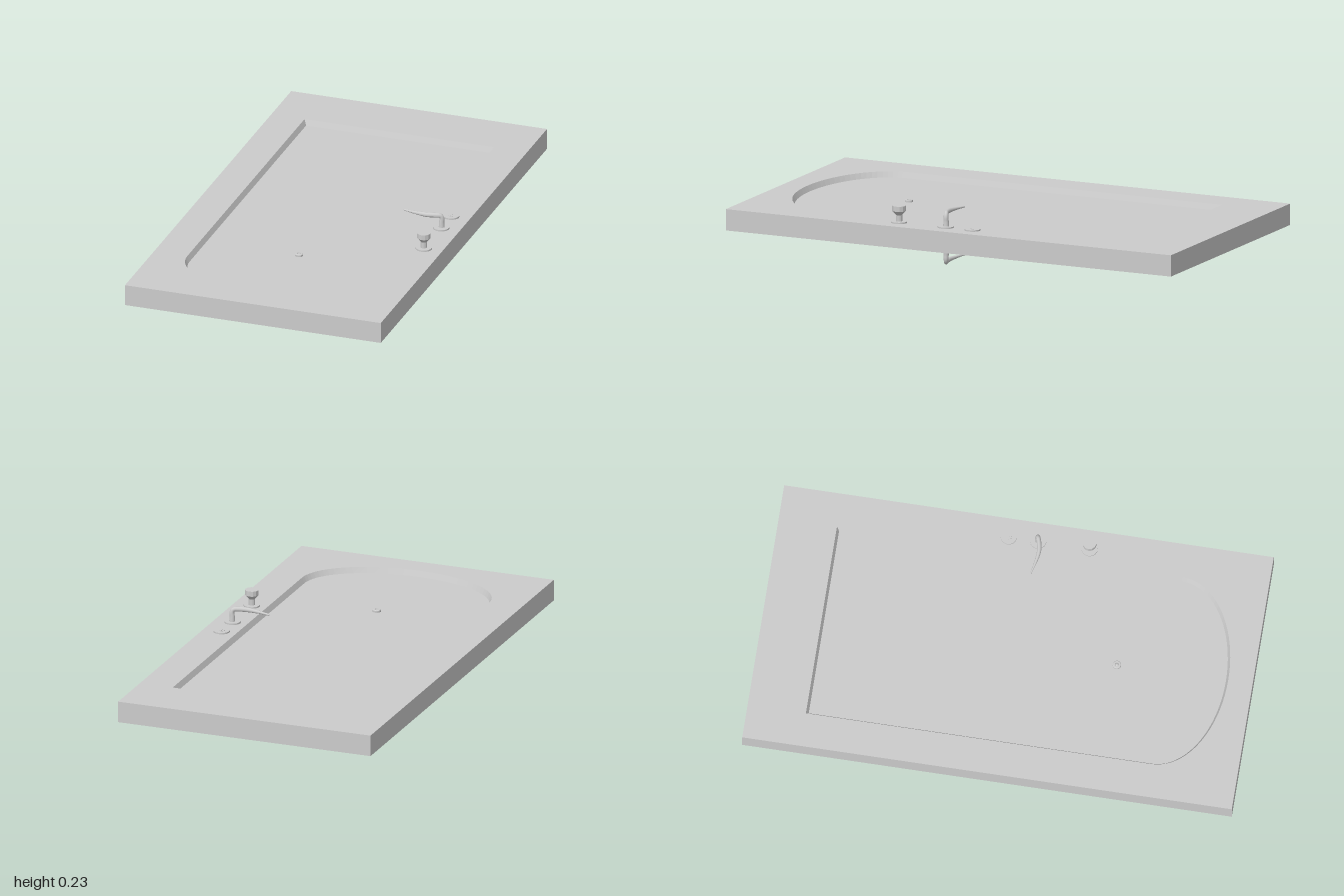
import * as THREE from 'three';

const HALF_W = 0.548, HALF_L = 1, MID_Y = 0.111, HALF_T = 0.044;
const RECESS = 0.023, SLOPE = 0.01, FIT_X = 0.469;

const mat = new THREE.MeshStandardMaterial({ color: 0xcccccc });
const flat = new THREE.MeshStandardMaterial({ color: 0xcccccc, flatShading: true });

function add(parent, name, geometry, material = mat, x = 0, y = 0, z = 0) {
  const mesh = new THREE.Mesh(geometry, material);
  mesh.name = name;
  mesh.position.set(x, y, z);
  parent.add(mesh);
  return mesh;
}

// Panel outline: square at one end, half ellipse at the other
function outline(inset) {
  const w = 0.406 - inset, pts = [new THREE.Vector2(-w, -0.762 + inset), new THREE.Vector2(w, -0.762 + inset)];
  for (let i = 0; i <= 40; i++) {
    const a = Math.PI * i / 40;
    pts.push(new THREE.Vector2(w * Math.cos(a), 0.65 + (0.25 - inset) * Math.sin(a)));
  }
  return pts;
}

// Extrude a plan shape (x, z) symmetrically about y = 0
function slab(shape, halfThickness) {
  return new THREE.ExtrudeGeometry(shape, { depth: 2 * halfThickness, bevelEnabled: false })
    .rotateX(Math.PI / 2).translate(0, halfThickness, 0);
}

// Sloping strip from the door face down to the sunken panel, facing the opening
function recessWall() {
  const rim = outline(0), foot = outline(SLOPE), pos = [], n = rim.length;
  for (let i = 0; i < n; i++) {
    const j = (i + 1) % n;
    const a = [rim[i].x, HALF_T, rim[i].y], b = [rim[j].x, HALF_T, rim[j].y];
    const c = [foot[i].x, HALF_T - RECESS, foot[i].y], d = [foot[j].x, HALF_T - RECESS, foot[j].y];
    pos.push(...a, ...c, ...b, ...b, ...c, ...d);
  }
  const g = new THREE.BufferGeometry();
  g.setAttribute('position', new THREE.Float32BufferAttribute(pos, 3));
  g.computeVertexNormals();
  return g;
}

// Post and curved lever: a tube whose radius follows its path
function leverGeometry() {
  const path = new THREE.CatmullRomCurve3([
    [0.47, 0.046, 0.048], [0.47, 0.07, 0.048], [0.471, 0.088, 0.048], [0.466, 0.099, 0.05],
    [0.45, 0.101, 0.056], [0.41, 0.101, 0.063], [0.36, 0.1, 0.057], [0.31, 0.099, 0.045],
  ].map(p => new THREE.Vector3(...p)));
  const segs = 48, sides = 14;
  const g = new THREE.TubeGeometry(path, segs, 1, sides, false);
  const p = g.attributes.position, v = new THREE.Vector3();
  for (let i = 0; i <= segs; i++) {
    const t = i / segs, c = path.getPointAt(t);
    const bar = THREE.MathUtils.smoothstep(t, 0.18, 0.36);
    const taper = THREE.MathUtils.smoothstep(t, 0.45, 1);
    const post = 0.0125 - 0.015 * Math.min(t, 0.22);
    const high = THREE.MathUtils.lerp(post, 0.01 - 0.006 * taper, bar);
    const deep = THREE.MathUtils.lerp(post, 0.009 - 0.005 * taper, bar);
    for (let k = 0; k <= sides; k++) {
      const id = i * (sides + 1) + k;
      v.fromBufferAttribute(p, id).sub(c);
      p.setXYZ(id, c.x + v.x * deep, c.y + v.y * high, c.z + v.z * deep);
    }
  }
  g.computeVertexNormals();
  return g;
}

function rosette(parent, name, z) {
  add(parent, name, new THREE.CylinderGeometry(0.033, 0.033, 0.006, 32), mat, FIT_X, HALF_T + 0.003, z);
}

function keyPlug(parent, z) {
  add(parent, 'keyPlug', new THREE.CylinderGeometry(0.013, 0.013, 0.002, 24), mat, FIT_X, HALF_T + 0.006, z);
  add(parent, 'keySlot', new THREE.BoxGeometry(0.004, 0.003, 0.02), mat, FIT_X, HALF_T + 0.0065, z);
}

// Everything found on one face of the door, built facing +y
function doorFace(name, hasKnob) {
  const face = new THREE.Group();
  face.name = name;
  add(face, 'recessWall', recessWall(), flat);
  rosette(face, 'lockRosette', -0.07);
  rosette(face, 'handleRosette', 0.05);
  rosette(face, 'boltRosette', 0.26);
  keyPlug(face, -0.07);
  add(face, 'leverHandle', leverGeometry());
  const tip = add(face, 'leverTip', new THREE.SphereGeometry(1, 12, 8), mat, 0.31, 0.099, 0.045);
  tip.scale.setScalar(0.004);

  if (hasKnob) {
    const profile = [[0, 0.004], [0.013, 0.004], [0.013, 0.032], [0.028, 0.049], [0.028, 0.0705], [0, 0.0705]];
    add(face, 'boltKnob', new THREE.LatheGeometry(profile.map(q => new THREE.Vector2(...q)), 12),
      flat, FIT_X, HALF_T, 0.26);
  } else keyPlug(face, 0.26);

  // Spyhole ring and lens on the sunken panel
  const ring = [[0.017, 0], [0.017, 0.008], [0.014, 0.01], [0.008, 0.01], [0.007, 0.005]];
  add(face, 'spyholeRing', new THREE.LatheGeometry(ring.map(q => new THREE.Vector2(...q)), 24),
    flat, 0, HALF_T - RECESS, 0.445);
  add(face, 'spyholeLens', new THREE.SphereGeometry(0.009, 16, 6, 0, Math.PI * 2, 0, Math.PI / 2),
    mat, 0, HALF_T - RECESS, 0.445);
  return face;
}

export function createModel() {
  const model = new THREE.Group();
  model.name = 'door';
  const body = new THREE.Group();
  body.name = 'doorBody';
  body.position.y = MID_Y;
  model.add(body);

  // Frame with the panel opening cut through
  const frame = new THREE.Shape([
    new THREE.Vector2(-HALF_W, -HALF_L), new THREE.Vector2(HALF_W, -HALF_L),
    new THREE.Vector2(HALF_W, HALF_L), new THREE.Vector2(-HALF_W, HALF_L),
  ]);
  frame.holes.push(new THREE.Path(outline(0)));
  add(body, 'frame', slab(frame, HALF_T));
  add(body, 'panel', slab(new THREE.Shape(outline(SLOPE)), HALF_T - RECESS));

  // Both faces; the lower one mirrors the upper
  body.add(doorFace('upperFace', true));
  const lower = doorFace('lowerFace', false);
  lower.scale.y = -1;
  body.add(lower);
  return model;
}
